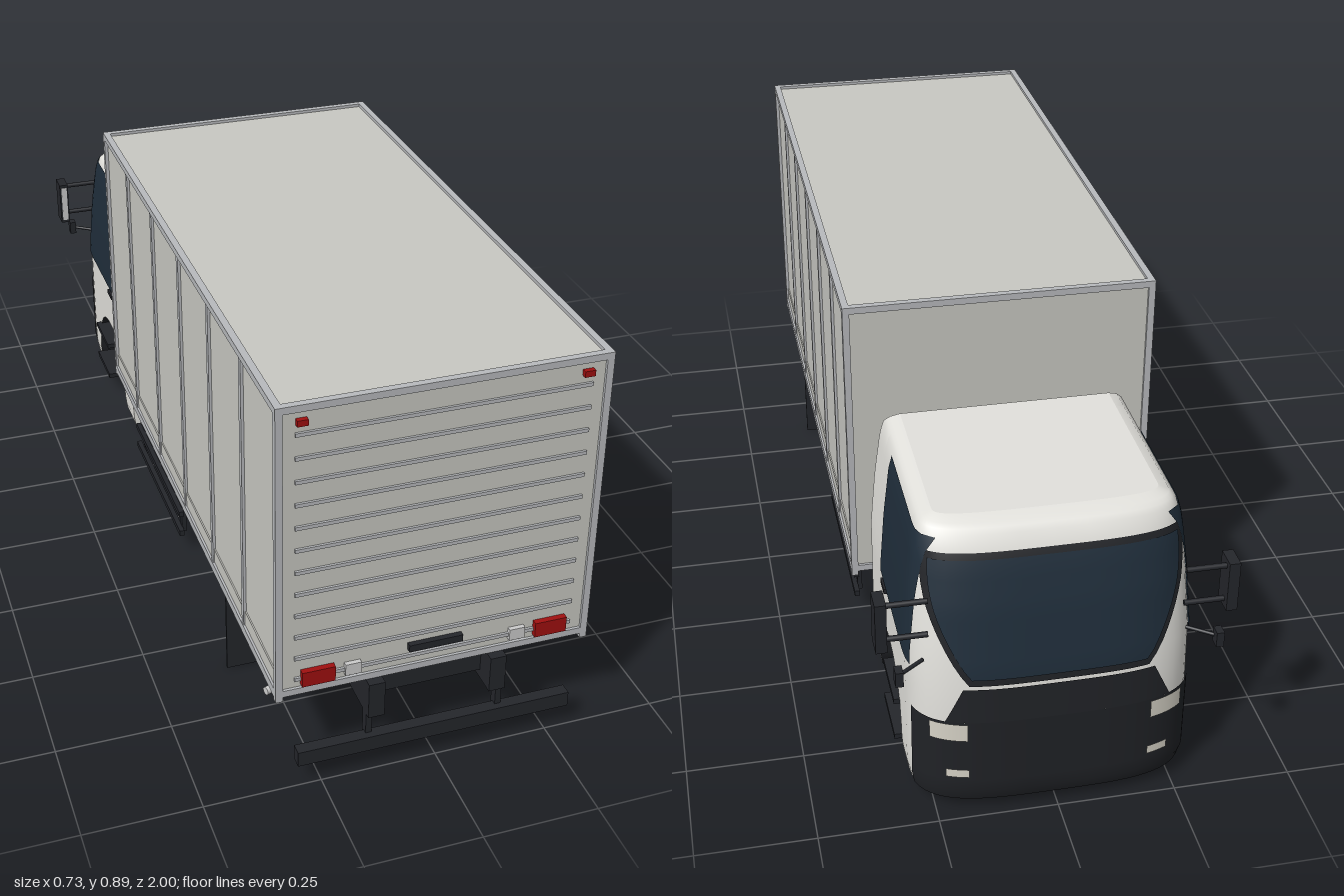
import * as THREE from 'three';

const mat = (color, side = THREE.FrontSide) =>
  new THREE.MeshStandardMaterial({ color, side, roughness: 0.7 });
const D = THREE.DoubleSide;
const M = {
  cab: mat(0xe2e1dc, D), box: mat(0xc8c8c2), frame: mat(0xb8babd), dark: mat(0x24262b),
  darkThin: mat(0x202226, D), glass: mat(0x1f2d3a, D), red: mat(0xa01010),
  lamp: mat(0xd8d4c8, D), metal: mat(0xcccccc),
};

export function createModel() {
  const root = new THREE.Group();
  const add = (name, geo, m) => {
    const mesh = new THREE.Mesh(geo, m);
    mesh.name = name;
    root.add(mesh);
    return mesh;
  };
  // Box given by its min and max corners
  const block = (name, m, x0, x1, y0, y1, z0, z1) => {
    const g = new THREE.BoxGeometry(x1 - x0, y1 - y0, z1 - z0);
    g.translate((x0 + x1) / 2, (y0 + y1) / 2, (z0 + z1) / 2);
    return add(name, g, m);
  };
  const pair = (name, m, x0, x1, ...r) => {
    block(name + 'Left', m, x0, x1, ...r);
    block(name + 'Right', m, -x1, -x0, ...r);
  };
  const rod = (name, m, a, b, r) => {
    const p = new THREE.Vector3(...a), q = new THREE.Vector3(...b);
    const mesh = add(name, new THREE.CylinderGeometry(r, r, p.distanceTo(q), 24), m);
    mesh.position.copy(p).lerp(q, 0.5);
    mesh.quaternion.setFromUnitVectors(new THREE.Vector3(0, 1, 0), q.sub(p).normalize());
  };
  // Surface grid from a function of two indices
  const grid = (name, m, nu, nv, f) => {
    const pos = [], idx = [];
    for (let j = 0; j < nv; j++) for (let i = 0; i < nu; i++) pos.push(...f(i, j));
    for (let j = 0; j < nv - 1; j++) for (let i = 0; i < nu - 1; i++) {
      const a = j * nu + i, b = a + nu;
      idx.push(a, a + 1, b, a + 1, b + 1, b);
    }
    const g = new THREE.BufferGeometry();
    g.setAttribute('position', new THREE.Float32BufferAttribute(pos, 3));
    g.setIndex(idx);
    g.computeVertexNormals();
    return add(name, g, m);
  };

  // ---- Cab: horizontal sections with rounded front corners ----
  const table = (t) => (y) => {
    let k = 0;
    while (k < t.length - 2 && y > t[k + 1][0]) k++;
    const [y0, a] = t[k], [y1, b] = t[k + 1];
    return a + (b - a) * Math.min(1, Math.max(0, (y - y0) / (y1 - y0)));
  };
  const W = table([[0.03, 0.29], [0.06, 0.295], [0.36, 0.295], [0.49, 0.285], [0.6, 0.272], [0.63, 0.264], [0.645, 0.25], [0.652, 0.23]]);
  const F = table([[0.03, 0.985], [0.06, 0.997], [0.24, 0.997], [0.36, 0.985], [0.49, 0.958], [0.58, 0.932], [0.63, 0.907], [0.645, 0.885], [0.652, 0.86]]);
  const R = table([[0.03, 0.416], [0.4, 0.422], [0.55, 0.432], [0.63, 0.44], [0.652, 0.455]]);
  const ZC = 0.82, N = 3.5;
  const sup = (t) => Math.pow(Math.max(0, 1 - Math.pow(Math.abs(t), N)), 1 / N);
  const sideX = (z, y, e = 0) => (W(y) + e) * (-z > ZC ? sup((-z - ZC) / (F(y) + e - ZC)) : 1);
  const frontZ = (s, y, e = 0) => -ZC - (F(y) + e - ZC) * sup(s);
  const archBottom = (z) => {
    const t = Math.abs(z + 0.66) / 0.15;
    return t >= 1 ? 0.03 : 0.03 + 0.185 * Math.pow(1 - Math.pow(t, 2.4), 1 / 2.4);
  };
  const half = []; // columns from rear corner to front centre
  for (const z of [-0.416, -0.46]) half.push((y) => [W(y), Math.min(z, -R(y))]);
  for (let i = 0; i <= 24; i++) {
    const z = -0.66 + 0.15 * Math.cos(Math.PI * i / 24);
    half.push((y) => [W(y), z]);
  }
  for (let i = 0; i <= 16; i++) {
    const s = Math.pow(Math.max(0, Math.cos(Math.PI * i / 32)), 2 / N);
    half.push((y) => [s * W(y), frontZ(s, y)]);
  }
  const H = half.length;
  const cols = [...half, ...half.slice(0, -1).reverse().map((f) => (y) => { const [x, z] = f(y); return [-x, z]; })];
  const low = [0, 0.1, 0.3, 0.6, 1];
  const high = [0.3, 0.36, 0.42, 0.49, 0.54, 0.58, 0.605, 0.63, 0.638, 0.645, 0.652];
  const rows = low.length + high.length;
  const rowY = (i, j) => {
    if (j >= low.length) return high[j - low.length];
    const b = archBottom(cols[i](0.24)[1]);
    return b + (0.25 - b) * low[j];
  };
  const cabPoint = (i, j) => {
    const y = rowY(i, j), [x, z] = cols[i](y);
    return [x, y, z];
  };
  grid('cabShell', M.cab, cols.length, rows, cabPoint);
  const across = (name, m, j) => grid(name, m, H, 2, (i, k) => {
    const [x, y, z] = cabPoint(i, j);
    return [k ? -x : x, y, z];
  });
  across('cabRoof', M.cab, rows - 1);
  across('cabUnderside', M.darkThin, 0);
  grid('cabBack', M.cab, 2, rows, (i, j) => {
    const [x, y, z] = cabPoint(0, j);
    return [i ? x : -x, y, z];
  });

  // Patches that lie just outside the cab surface
  const front = (name, m, y0, y1, a, b, e) => grid(name, m, 33, 13, (i, j) => {
    const t = j / 12, y = y0 + (y1 - y0) * t, k = i / 32;
    const s = a(t) + (b(t) - a(t)) * k;
    return [s * (W(y) + e), y, frontZ(s, y, e)];
  });
  const screen = (bot, top) => (t) => bot + (top - bot) * Math.pow(Math.sin(t * Math.PI / 2), 0.9);
  const wide = screen(0.62, 0.965), narrow = screen(0.6, 0.91);
  front('windscreenSurround', M.darkThin, 0.325, 0.6, (t) => -wide(t), wide, 0.002);
  front('windscreen', M.glass, 0.34, 0.588, (t) => -narrow(t), narrow, 0.004);
  front('grille', M.darkThin, 0.24, 0.318, (t) => -0.78 + 0.12 * t, (t) => 0.78 - 0.12 * t, 0.003);
  grid('bumper', M.darkThin, 41, 8, (i, j) => {
    const a = 0.3 + (Math.PI - 0.6) * i / 40, y = 0.03 + 0.21 * j / 7;
    const s = Math.sign(Math.cos(a)) * Math.pow(Math.abs(Math.cos(a)), 2 / N);
    return [s * (W(y) + 0.003), y, frontZ(s, y, 0.003)];
  });
  for (const s of [1, -1]) {
    const side = s > 0 ? 'Left' : 'Right';
    front('headlight' + side, M.lamp, 0.195, 0.237, () => s * 0.63, () => s * 0.87, 0.006);
    front('fogLight' + side, M.lamp, 0.1, 0.12, () => s * 0.62, () => s * 0.77, 0.006);
    grid('sideWindow' + side, M.glass, 17, 11, (i, j) => {
      const y = 0.337 + 0.289 * j / 10;
      const z = -0.577 - (0.327 - 0.014 * j / 10) * i / 16;
      return [s * sideX(z, y, 0.003), y, z];
    });
    // Mirrors
    for (const y of [0.44, 0.52]) rod('mirrorArm' + side, M.dark, [s * 0.26, y, -0.945], [s * 0.355, y, -0.945], 0.006);
    rod('smallMirrorArm' + side, M.dark, [s * 0.27, 0.375, -0.94], [s * 0.325, 0.375, -0.98], 0.004);
  }
  pair('mirror', M.dark, 0.343, 0.366, 0.422, 0.535, -0.965, -0.915);
  pair('mirrorGlass', M.metal, 0.347, 0.362, 0.43, 0.527, -0.916, -0.913);
  pair('smallMirror', M.dark, 0.317, 0.333, 0.358, 0.392, -0.995, -0.97);
  pair('doorHandle', M.dark, 0.29, 0.302, 0.322, 0.334, -0.642, -0.598);
  pair('upperStep', M.dark, 0.25, 0.308, 0.145, 0.157, -0.79, -0.65);
  pair('lowerStep', M.dark, 0.25, 0.308, 0.05, 0.062, -0.79, -0.65);
  block('cabFloorPlate', M.dark, -0.2, 0.2, 0.19, 0.2, -0.8, -0.54);

  // ---- Cargo box with edge frame ----
  const bx = 0.34, y0 = 0.208, y1 = 0.888, z0 = -0.405, z1 = 0.978, f = 0.015;
  block('cargoBody', M.box, -bx + 0.008, bx - 0.008, y0 + 0.012, y1 - 0.007, z0 + 0.006, z1 - 0.006);
  for (const [a, b] of [[z0, z0 + f], [z1 - f, z1]]) {
    pair('cornerPost', M.frame, bx - f, bx, y0, y1, a, b);
    block('topCrossEdge', M.frame, -bx + f, bx - f, y1 - f, y1, a, b);
    block('bottomCrossEdge', M.frame, -bx + f, bx - f, y0 + 0.011, y0 + 0.026, a, b);
  }
  pair('topEdge', M.frame, bx - f, bx, y1 - f, y1, z0 + f, z1 - f);
  pair('bottomEdge', M.frame, bx - f, bx, y0 + 0.006, y0 + 0.027, z0 + f, z1 - f);
  pair('sideStrip', M.box, 0.33, 0.335, 0.235, 0.27, z0 + f, z1 - f);
  for (let i = 1; i < 6; i++) {
    const z = z0 + (z1 - z0) * i / 6;
    pair('sideRib', M.frame, 0.33, 0.338, 0.225, y1 - f, z - 0.007, z + 0.007);
  }
  // Rear door slats, lamps and plate
  for (let i = 0; i < 12; i++) {
    const y = 0.255 + i * 0.0517;
    block('rearSlat', M.frame, -0.3, 0.3, y - 0.004, y + 0.004, 0.968, 0.977);
  }
  pair('tailLight', M.red, 0.217, 0.287, 0.24, 0.275, 0.965, 0.985);
  pair('reverseLight', M.metal, 0.161, 0.195, 0.243, 0.27, 0.965, 0.982);
  pair('markerLight', M.red, 0.277, 0.299, 0.845, 0.858, 0.965, 0.983);
  block('plateHolder', M.dark, -0.06, 0.056, 0.27, 0.286, 0.965, 0.984);

  // ---- Chassis ----
  pair('chassisRail', M.dark, 0.115, 0.15, 0.135, 0.219, -0.43, 0.998);
  for (const z of [0.93, 0.6, 0.25, -0.1, -0.36]) block('crossMember', M.dark, -0.12, 0.12, 0.155, 0.2, z - 0.02, z + 0.02);
  pair('underrunBracket', M.dark, 0.137, 0.15, 0.07, 0.14, 0.965, 0.985);
  block('underrunBar', M.dark, -0.3, 0.3, 0.05, 0.085, 0.974, 1.0);
  pair('mudFlap', M.dark, 0.214, 0.333, 0.001, 0.209, 0.597, 0.603);
  pair('mudFlapHanger', M.dark, 0.15, 0.31, 0.2, 0.219, 0.59, 0.61);

  // Side guards
  for (const y of [0.06, 0.115]) pair('guardRail', M.dark, 0.308, 0.32, y - 0.007, y + 0.007, -0.275, 0.155);
  for (const z of [-0.24, 0.13]) pair('guardPost', M.dark, 0.298, 0.309, 0.053, 0.222, z - 0.007, z + 0.007);

  // Fuel tank, battery box and exhaust
  rod('fuelTank', M.metal, [0.21, 0.147, -0.085], [0.21, 0.147, 0.125], 0.057);
  block('batteryBox', M.dark, -0.265, -0.165, 0.105, 0.219, -0.085, 0.06);
  rod('exhaustPipe', M.metal, [-0.172, 0.042, 0.71], [-0.29, 0.042, 0.75], 0.009);

  return root;
}
